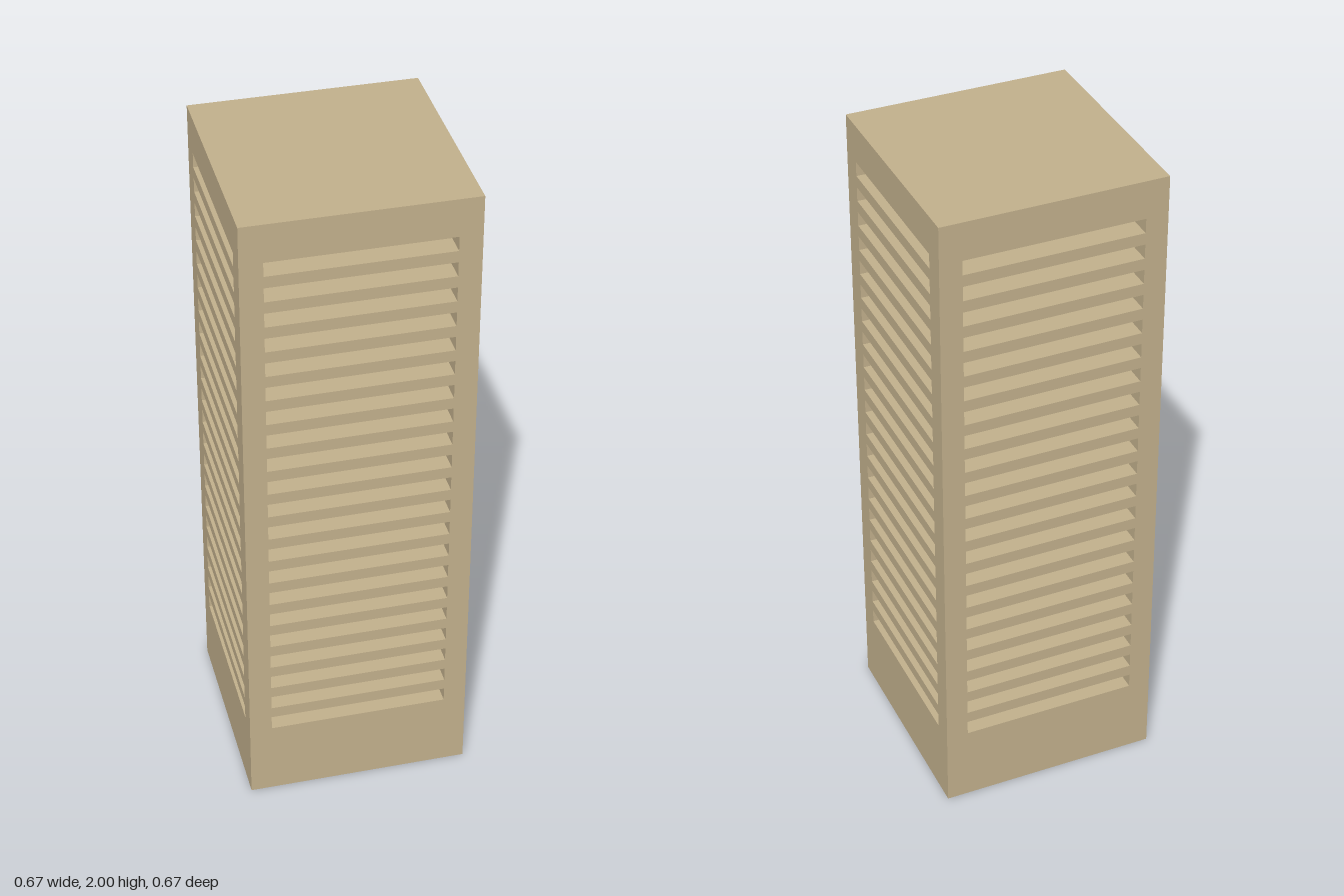
import * as THREE from 'three';
import { mergeGeometries } from 'three/addons/utils/BufferGeometryUtils.js';

const H = 2, HALF = 1 / 3;            // tower height and half width
const SLOT_HALF = 0.2667, SLOT_H = 0.0444, DEPTH = 0.0667;
const FIRST = 0.24, PITCH = 0.08, FLOORS = 21;

// Rectangle traced into a shape or path
function rect(path, x, y0, y1) {
  path.moveTo(-x, y0);
  path.lineTo(x, y0);
  path.lineTo(x, y1);
  path.lineTo(-x, y1);
  path.closePath();
  return path;
}

// Inward-facing box without its front: the walls of one recessed window band
function recess(y) {
  const g = new THREE.BoxGeometry(2 * SLOT_HALF, SLOT_H, DEPTH);
  const kept = Array.from(g.index.array).filter((_, i) => i < 24 || i >= 30);
  g.setIndex(kept.reverse());
  g.clearGroups();
  g.computeVertexNormals();
  return g.translate(0, y + SLOT_H / 2, HALF - DEPTH / 2);
}

export function createModel() {
  const model = new THREE.Group();
  model.name = 'tower';
  const material = new THREE.MeshStandardMaterial({ color: 0xc2b08c });

  const add = (parent, name, geometry) => {
    const mesh = new THREE.Mesh(geometry, material);
    mesh.name = name;
    parent.add(mesh);
    return mesh;
  };

  // Wall outline with one opening per floor
  const outline = rect(new THREE.Shape(), HALF, 0, H);
  const recesses = [];
  for (let i = 0; i < FLOORS; i++) {
    const y = FIRST + i * PITCH;
    outline.holes.push(rect(new THREE.Path(), SLOT_HALF, y, y + SLOT_H));
    recesses.push(recess(y));
  }
  const wall = new THREE.ShapeGeometry(outline).translate(0, 0, HALF);
  const bands = mergeGeometries(recesses);

  // Four identical facades
  ['front', 'left', 'back', 'right'].forEach((side, i) => {
    const facade = new THREE.Group();
    facade.name = side + 'Facade';
    add(facade, side + 'Wall', wall);
    add(facade, side + 'WindowBands', bands);
    facade.rotation.y = i * Math.PI / 2;
    model.add(facade);
  });

  // Flat roof and underside
  const cap = new THREE.PlaneGeometry(2 * HALF, 2 * HALF);
  const roof = add(model, 'roof', cap);
  roof.rotation.x = -Math.PI / 2;
  roof.position.y = H;
  const base = add(model, 'base', cap);
  base.rotation.x = Math.PI / 2;

  return model;
}
